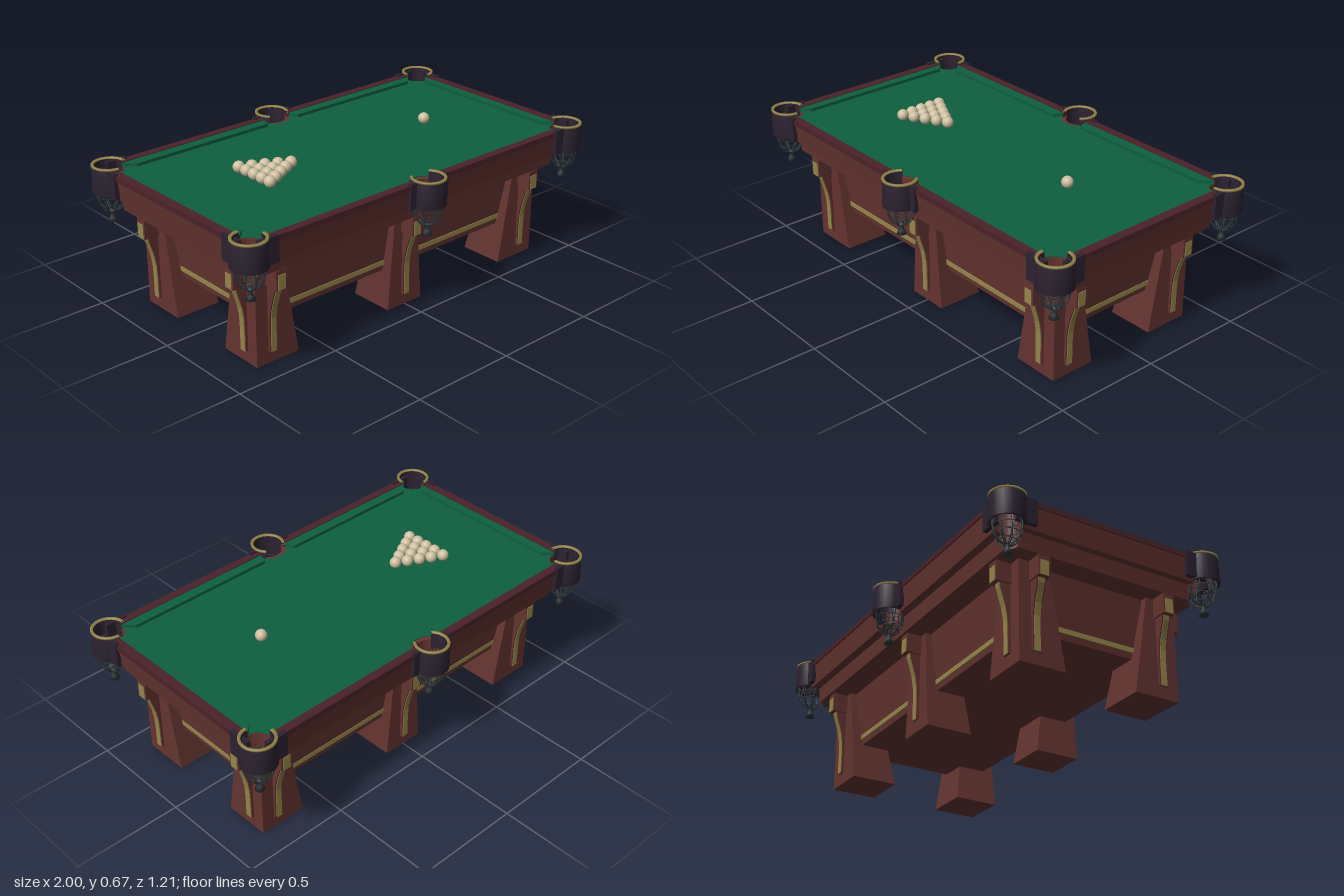
import * as THREE from 'three';

const mat = (color) => new THREE.MeshStandardMaterial({ color, side: THREE.DoubleSide });
const wood = mat(0x643430), railWood = mat(0x4a2229), cloth = mat(0x0e5f3f), gold = mat(0x96864a);
const leather = mat(0x2b2230), cord = mat(0x2c3538), ivory = mat(0xcdbfa0);

const CORNER = [0.92, 0.484], SIDE_Z = 0.523; // pocket centres
const LEG_Z = 0.008; // small shift of legs and balls
const SIGNS = [-1, 1];

function add(parent, name, geometry, material, x = 0, y = 0, z = 0) {
  const mesh = new THREE.Mesh(geometry, material);
  mesh.name = name;
  mesh.position.set(x, y, z);
  parent.add(mesh);
  return mesh;
}

// Flat-shaded solid through rings of [x, z] points at given heights, capped at both ends
function loft(rings) {
  const rs = rings.map(([y, pts]) => {
    const v = pts.map(([x, z]) => new THREE.Vector2(x, z));
    return [y, THREE.ShapeUtils.area(v) < 0 ? v.reverse() : v];
  });
  const pos = [], n = rs[0][1].length;
  const put = (r, i) => pos.push(rs[r][1][i % n].x, rs[r][0], rs[r][1][i % n].y);
  for (let r = 0; r < rs.length - 1; r++)
    for (let i = 0; i < n; i++) {
      put(r, i); put(r + 1, i); put(r, i + 1);
      put(r, i + 1); put(r + 1, i); put(r + 1, i + 1);
    }
  for (const r of [0, rs.length - 1])
    for (const [a, b, c] of THREE.ShapeUtils.triangulateShape(rs[r][1].slice(), [])) {
      const v = rs[r][1];
      const up = THREE.ShapeUtils.area([v[a], v[b], v[c]]) < 0;
      (up === r > 0 ? [a, b, c] : [a, c, b]).forEach((i) => put(r, i));
    }
  const g = new THREE.BufferGeometry();
  g.setAttribute('position', new THREE.Float32BufferAttribute(pos, 3));
  g.computeVertexNormals();
  return g;
}

const rect = (x0, x1, z0, z1) => [[x0, z0], [x1, z0], [x1, z1], [x0, z1]];

// Rectangle of half sizes X, Z with round bites for the six pockets
function tableOutline(X, Z, rc, rs) {
  const q = [], N = 12, [cx, cz] = CORNER;
  const a0 = Math.atan2(-Math.sqrt(rc * rc - (X - cx) ** 2), X - cx);
  const a1 = Math.atan2(Z - cz, -Math.sqrt(rc * rc - (Z - cz) ** 2));
  const end = a1 > 0 ? a1 - 2 * Math.PI : a1;
  for (let i = 0; i <= N; i++) {
    const a = a0 + (end - a0) * i / N;
    q.push([cx + rc * Math.cos(a), cz + rc * Math.sin(a)]);
  }
  const s0 = Math.asin((Z - SIDE_Z) / rs);
  for (let i = 0; i <= N; i++) {
    const a = s0 + (-Math.PI / 2 - s0) * i / N;
    q.push([rs * Math.cos(a), SIDE_Z + rs * Math.sin(a)]);
  }
  const half = [...q, ...q.slice(0, -1).reverse().map(([x, z]) => [-x, z])];
  return [...half, ...half.map(([x, z]) => [-x, -z])];
}

// Curved bracket with a gilded strip, facing +z
function makeBracket() {
  const g = new THREE.Group();
  g.name = 'legBracket';
  const curve = [[0.05, 0.37], [0.045, 0.34], [0.032, 0.3], [0.02, 0.26], [0.012, 0.21], [0.01, 0.16], [0.01, 0.055]];
  const strip = (out, back, width) => {
    const pts = [...curve.map(([d, y]) => [d + out, y]), ...[...curve].reverse().map(([d, y]) => [back === null ? -0.01 : d + back, y])];
    const shape = new THREE.Shape(pts.map(([d, y]) => new THREE.Vector2(-d, y)));
    return new THREE.ExtrudeGeometry(shape, { depth: width, bevelEnabled: false }).translate(0, 0, -width / 2).rotateY(Math.PI / 2);
  };
  add(g, 'bracketWood', strip(0, null, 0.04), wood);
  add(g, 'bracketGoldStrip', strip(0.003, -0.005, 0.028), gold);
  add(g, 'bracketBlock', new THREE.BoxGeometry(0.055, 0.09, 0.08), wood, 0, 0.405, 0.03);
  add(g, 'bracketGoldCap', new THREE.BoxGeometry(0.038, 0.066, 0.01), gold, 0, 0.395, 0.068);
  return g;
}

// Pocket with leather collar, rim, cord net and tassel, opening away from +z
function makePocket() {
  const g = new THREE.Group();
  g.name = 'pocket';
  const arc = Math.PI * 1.5;
  const profile = [[0.066, 0.53], [0.08, 0.53], [0.076, 0.648], [0.06, 0.648], [0.066, 0.53]];
  add(g, 'pocketCollar', new THREE.LatheGeometry(profile.map((p) => new THREE.Vector2(...p)), 18, -arc / 2, arc), leather);
  const rim = [[0.066, 0.646], [0.078, 0.646], [0.078, 0.655], [0.066, 0.655], [0.066, 0.646]];
  add(g, 'pocketRim', new THREE.LatheGeometry(rim.map((p) => new THREE.Vector2(...p)), 18, -arc / 2, arc), gold);
  const net = [[0.06, 0.55], [0.062, 0.51], [0.056, 0.475], [0.038, 0.445], [0.012, 0.428]];
  for (let i = 0; i < 16; i++) {
    const dir = i % 2 ? 1 : -1;
    const path = net.map(([r, y], k) => {
      const a = (i + dir * k * 0.25) * Math.PI / 8;
      return new THREE.Vector3(r * Math.sin(a), y, r * Math.cos(a));
    });
    add(g, 'netCord', new THREE.TubeGeometry(new THREE.CatmullRomCurve3(path), 10, 0.0022, 4), cord);
  }
  for (const [r, y] of net.slice(0, 4))
    add(g, 'netRing', new THREE.TorusGeometry(r, 0.002, 4, 20).rotateX(Math.PI / 2), cord, 0, y, 0);
  const tassel = [[0, 0.44], [0.011, 0.436], [0.013, 0.426], [0.008, 0.418], [0.014, 0.405], [0.022, 0.386], [0, 0.386]];
  add(g, 'tassel', new THREE.LatheGeometry(tassel.map((p) => new THREE.Vector2(...p)), 10), cord);
  return g;
}

export function createModel() {
  const model = new THREE.Group();
  model.name = 'billiardTable';

  // Cabinet, stepped frame and bed
  add(model, 'cabinet', loft([[0.175, rect(-0.77, 0.77, -0.325, 0.34)], [0.45, rect(-0.8, 0.8, -0.35, 0.365)]]), wood);
  add(model, 'cabinetGoldBand', new THREE.BoxGeometry(1.556, 0.022, 0.68), gold, 0, 0.214, LEG_Z);
  add(model, 'lowerFrame', loft([[0.45, tableOutline(0.9, 0.46, 0.064, 0.064)], [0.522, tableOutline(0.91, 0.468, 0.064, 0.064)]]), wood);
  add(model, 'upperFrame', loft([[0.52, tableOutline(0.94, 0.505, 0.064, 0.064)], [0.618, tableOutline(0.955, 0.52, 0.064, 0.064)]]), wood);
  add(model, 'bedCloth', loft([[0.6, tableOutline(0.925, 0.492, 0.068, 0.085)], [0.622, tableOutline(0.925, 0.492, 0.068, 0.085)]]), cloth);

  // Rails and cushions, broken at the pockets
  const prism = (pts, y0, y1) => loft([[y0, pts], [y1, pts]]);
  for (const s of SIGNS) {
    add(model, 'endRail', prism(rect(s * 0.918, s * 0.96, -0.425, 0.425), 0.616, 0.64), railWood);
    add(model, 'endCushion', prism([[s * 0.92, -0.425], [s * 0.876, -0.385], [s * 0.876, 0.385], [s * 0.92, 0.425]], 0.615, 0.637), cloth);
    for (const t of SIGNS) {
      add(model, 'sideRail', prism(rect(s * 0.068, s * 0.86, t * 0.486, t * 0.525), 0.616, 0.64), railWood);
      add(model, 'sideCushion', prism([[s * 0.072, t * 0.488], [s * 0.09, t * 0.438], [s * 0.81, t * 0.438], [s * 0.858, t * 0.488]], 0.615, 0.637), cloth);
    }
  }

  // Pockets with leather flaps along the rails
  const flapY = 0.588, flapH = 0.116;
  for (const t of SIGNS) {
    for (const s of [-1, 0, 1]) {
      const pocket = makePocket();
      pocket.position.set(s * CORNER[0], 0, t * (s ? CORNER[1] : SIDE_Z));
      pocket.rotation.y = Math.atan2(s, t);
      model.add(pocket);
      if (s) {
        add(model, 'pocketFlap', new THREE.BoxGeometry(0.1, flapH, 0.02), leather, s * 0.86, flapY, t * 0.522);
        add(model, 'pocketFlap', new THREE.BoxGeometry(0.02, flapH, 0.1), leather, s * 0.957, flapY, t * 0.422);
      } else {
        for (const d of SIGNS)
          add(model, 'pocketFlap', new THREE.BoxGeometry(0.045, flapH, 0.02), leather, d * 0.087, flapY, t * 0.522);
      }
    }
  }

  // Six tapered legs with brackets
  const legs = new THREE.Group();
  legs.name = 'legs';
  legs.position.z = LEG_Z;
  model.add(legs);
  const bracketAt = (x, z, angle) => {
    const b = makeBracket();
    b.position.set(x, 0, z);
    b.rotation.y = angle;
    legs.add(b);
  };
  for (const t of SIGNS) {
    const facing = t > 0 ? 0 : Math.PI;
    add(legs, 'middleLeg', loft([[0, rect(-0.1, 0.1, t * 0.17, t * 0.385)], [0.452, rect(-0.065, 0.065, t * 0.245, t * 0.385)]]), wood);
    bracketAt(0, t * 0.385, facing);
    for (const s of SIGNS) {
      add(legs, 'cornerLeg', loft([[0, rect(s * 0.61, s * 0.829, t * 0.17, t * 0.385)], [0.452, rect(s * 0.685, s * 0.829, t * 0.245, t * 0.385)]]), wood);
      bracketAt(s * 0.748, t * 0.385, facing);
      bracketAt(s * 0.829, t * 0.308, s * Math.PI / 2);
    }
  }

  // Racked balls and the cue ball
  const ball = new THREE.SphereGeometry(0.0265, 20, 14);
  for (let row = 0; row < 5; row++)
    for (let i = 0; i <= row; i++)
      add(model, 'rackedBall', ball, ivory, -0.32 - row * 0.05, 0.648, LEG_Z + (i - row / 2) * 0.053);
  add(model, 'cueBall', ball, ivory, 0.48, 0.648, LEG_Z);

  return model;
}
